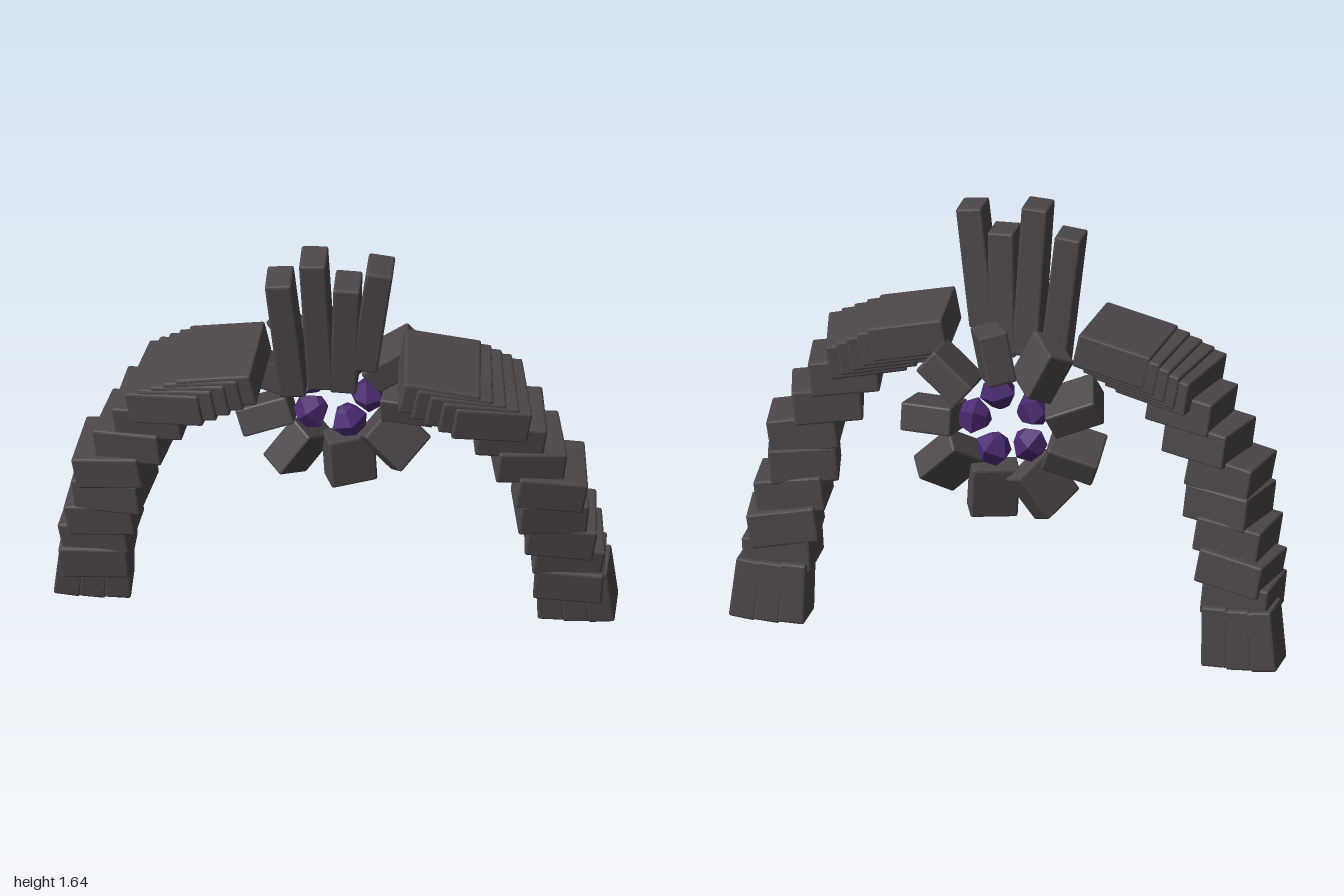
import * as THREE from 'three';
import { RoundedBoxGeometry } from 'three/addons/geometries/RoundedBoxGeometry.js';

const stone = new THREE.MeshStandardMaterial({ color: 0x4d474a });
stone.name = 'dark stone';
const crystal = new THREE.MeshStandardMaterial({ color: 0x4a2a70 });
crystal.name = 'purple crystal';

// Faceted normals
function facet(geometry) {
  const g = geometry.index ? geometry.toNonIndexed() : geometry;
  g.computeVertexNormals();
  return g;
}

// Stone block with narrow chamfered edges
function block(name, [w, h, d], [x, y, z], [rx, ry, rz]) {
  const mesh = new THREE.Mesh(facet(new RoundedBoxGeometry(w, h, d, 1, 0.008)), stone);
  mesh.name = name;
  mesh.position.set(x, y, z);
  mesh.rotation.set(rx, ry, rz);
  return mesh;
}

// One arm; side = 1 is the model's left, -1 mirrors it
function createArm(side) {
  const arm = new THREE.Group();
  arm.name = side > 0 ? 'leftArm' : 'rightArm';
  const add = (name, size, [x, y, z], [rx, ry, rz]) =>
    arm.add(block(name, size, [x * side, y, z], [rx, ry * side, rz * side]));

  // Three fingers
  for (let i = 0; i < 3; i++) {
    add('finger', [0.095, 0.225, 0.165], [0.77 + i * 0.085, 0.128 + (i === 1 ? -0.003 : 0), -0.105],
      [0.08, 0, 0.01 + i * 0.05]);
  }

  // Stacked blocks of the forearm: x, y, z, yaw, roll
  const forearm = [
    [0.84, 0.255, -0.03, 0.04, -0.08],
    [0.83, 0.36, -0.03, 0.14, -0.17],
    [0.81, 0.47, 0.01, 0.1, -0.14],
    [0.775, 0.585, 0.03, 0.2, -0.1],
    [0.775, 0.7, 0.045, 0.14, -0.17],
    [0.695, 0.82, 0.05, 0.22, -0.12],
    [0.63, 0.935, 0.06, 0.16, -0.14],
  ];
  for (const [x, y, z, yaw, roll] of forearm) {
    add('forearmBlock', [0.245, 0.13, 0.25], [x, y, z], [0.09, yaw, roll]);
  }

  // Overlapping slabs of the shoulder
  for (let i = 0; i < 5; i++) {
    add('shoulderSlab', [0.275, 0.13, 0.325], [0.385 + i * 0.042, 1.122 - i * 0.022, 0.07],
      [0.05, 0.08 + i * 0.03, -0.2 + i * 0.01]);
  }
  return arm;
}

// Ring of nine twisted blocks around the core
function createRing() {
  const ring = new THREE.Group();
  ring.name = 'blockRing';
  const twists = [0.2, 0.05, 0.45, 0.6, 0.35, 0.35, 0.7, 1.2, 0.9];
  twists.forEach((twist, i) => {
    const spoke = new THREE.Group();
    spoke.name = 'ringSpoke';
    spoke.rotation.z = i * Math.PI * 2 / 9;
    spoke.add(block('ringBlock', [0.19, 0.105, 0.17], [0.265, 0, 0], [twist, -0.12, 0]));
    ring.add(spoke);
  });
  return ring;
}

// Five rough crystals pointing at the middle
function createCrystals() {
  const group = new THREE.Group();
  group.name = 'crystals';
  const profile = [[0, -0.06], [0.045, -0.05], [0.07, 0], [0.035, 0.045], [0, 0.06]]
    .map(([r, y]) => new THREE.Vector2(r, y));
  for (let i = 0; i < 5; i++) {
    const geometry = new THREE.LatheGeometry(profile, 5);
    geometry.rotateY(i * 0.7);
    geometry.rotateZ(Math.PI / 2);
    geometry.translate(0.112, 0, 0);
    const mesh = new THREE.Mesh(facet(geometry), crystal);
    mesh.name = 'crystal';
    mesh.rotation.z = 0.08 + i * Math.PI * 2 / 5;
    group.add(mesh);
  }
  return group;
}

// Tall spikes of the crown, from base point to tip point
function createCrown() {
  const crown = new THREE.Group();
  crown.name = 'crown';
  const spikes = [
    [-0.135, 1.03, -0.185, 1.535],
    [-0.035, 1.07, -0.062, 1.635],
    [0.045, 1.06, 0.06, 1.53],
    [0.12, 1.165, 0.178, 1.61],
  ];
  for (const [x0, y0, x1, y1] of spikes) {
    const zAt = (y) => 0.05 + (y - 1.03) * 0.075;
    const base = new THREE.Vector3(x0, y0, zAt(y0));
    const tip = new THREE.Vector3(x1, y1, zAt(y1));
    const dir = tip.clone().sub(base);
    const mid = base.clone().add(tip).multiplyScalar(0.5);
    const spike = block('spike', [0.095, dir.length(), 0.125], mid.toArray(), [0, 0, 0]);
    spike.quaternion.setFromUnitVectors(new THREE.Vector3(0, 1, 0), dir.normalize());
    crown.add(spike);
  }
  return crown;
}

export function createModel() {
  const model = new THREE.Group();
  model.name = 'stoneGuardian';
  const core = new THREE.Group();
  core.name = 'core';
  core.position.set(0, 0.875, -0.135);
  core.add(createRing(), createCrystals());
  model.add(core, createCrown(), createArm(1), createArm(-1));
  return model;
}
